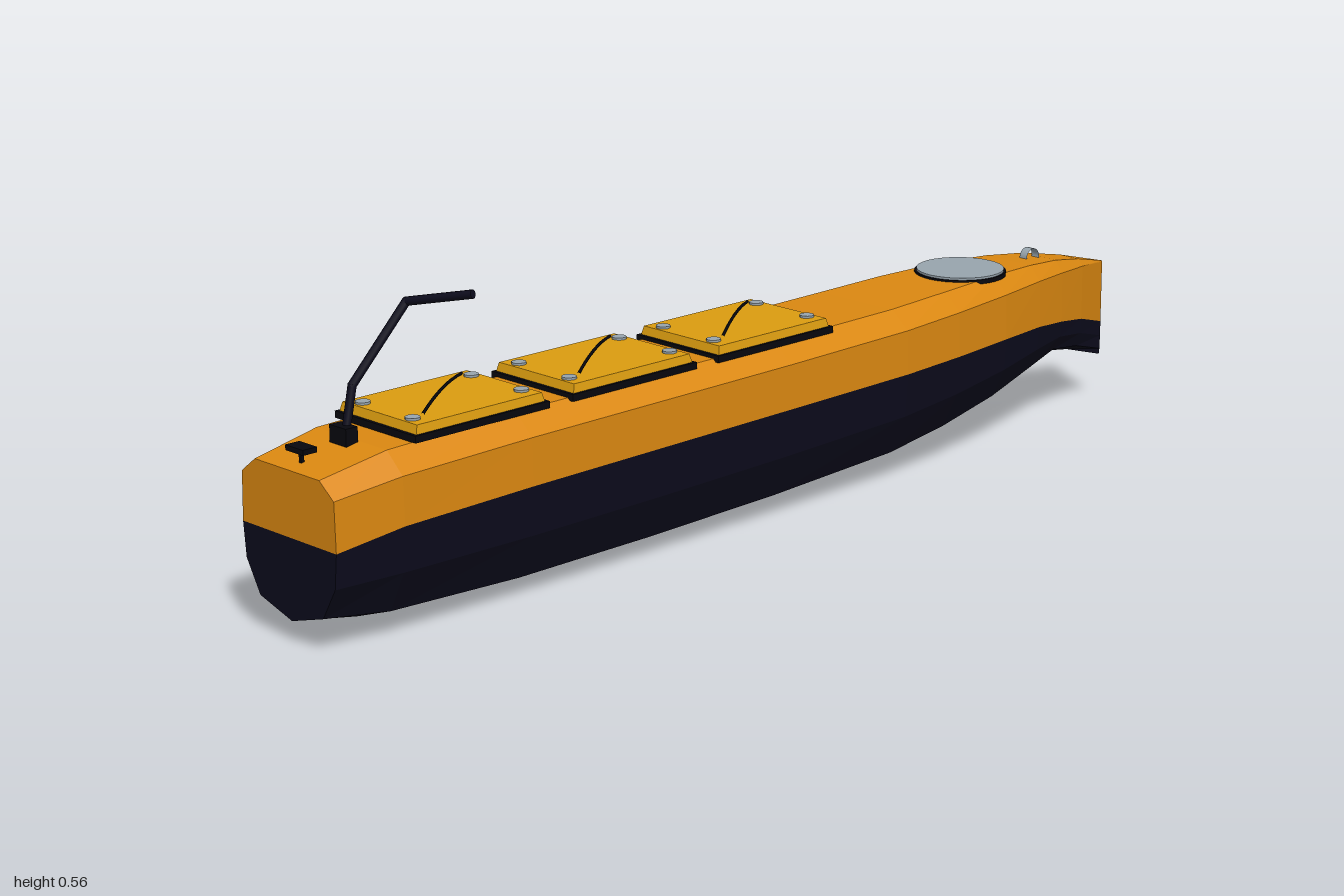
import * as THREE from 'three';

const CZ = -0.01; // centreline of the hull

const paint = (name, color) => {
  const m = new THREE.MeshStandardMaterial({ color });
  m.name = name;
  return m;
};

// stations: x, half width, keel, waterline, deck edge and deck heights
const STATIONS = [
  [-1.0, 0.117, 0.04, 0.18, 0.265, 0.292],
  [-0.87, 0.127, 0.015, 0.198, 0.28, 0.315],
  [-0.6, 0.128, 0.002, 0.204, 0.286, 0.322],
  [-0.3, 0.128, 0.003, 0.207, 0.288, 0.323],
  [0.0, 0.128, 0.01, 0.21, 0.29, 0.324],
  [0.3, 0.127, 0.025, 0.213, 0.294, 0.327],
  [0.45, 0.118, 0.046, 0.215, 0.298, 0.331],
  [0.6, 0.101, 0.075, 0.216, 0.301, 0.333],
  [0.72, 0.08, 0.108, 0.213, 0.302, 0.329],
  [0.81, 0.06, 0.132, 0.203, 0.299, 0.321],
  [0.9, 0.035, 0.119, 0.187, 0.292, 0.305],
  [1.0, 0.002, 0.09, 0.157, 0.278, 0.28],
];

// skin over equal cross-sections, with both ends closed
function loft(sections) {
  const pos = [];
  const tri = (...pts) => pts.forEach((p) => pos.push(...p));
  const n = sections[0].length;
  for (let i = 0; i < sections.length - 1; i++) {
    for (let j = 0; j < n - 1; j++) {
      const a = sections[i][j], b = sections[i][j + 1];
      const c = sections[i + 1][j], d = sections[i + 1][j + 1];
      tri(a, b, c);
      tri(b, d, c);
    }
  }
  const stern = sections[0], bow = sections[sections.length - 1];
  for (let j = 1; j < n - 1; j++) {
    tri(stern[0], stern[j + 1], stern[j]);
    tri(bow[0], bow[j], bow[j + 1]);
  }
  const g = new THREE.BufferGeometry();
  g.setAttribute('position', new THREE.Float32BufferAttribute(pos, 3));
  g.computeVertexNormals();
  return g;
}

export function createModel() {
  const group = new THREE.Group();
  const orange = paint('hull orange', 0xdb8811);
  const yellow = paint('hatch yellow', 0xdc9d10);
  const navy = paint('dark navy', 0x0c0b1c);
  const black = paint('rubber black', 0x07070e);
  const grey = paint('metal grey', 0x98a5ae);
  grey.side = THREE.DoubleSide;

  const add = (name, geo, mat, x = 0, y = 0, z = 0, parent = group) => {
    const m = new THREE.Mesh(geo, mat);
    m.name = name;
    m.position.set(x, y, z);
    parent.add(m);
    return m;
  };

  // hull: dark bottom and orange topsides share the waterline
  const lower = STATIONS.map(([x, w, k, wl]) => {
    const h = wl - k;
    return [[1.02, wl], [0.97, k + 0.57 * h], [0.69, k + 0.17 * h], [0, k],
      [-0.69, k + 0.17 * h], [-0.97, k + 0.57 * h], [-1.02, wl]]
      .map(([f, y]) => [x, y, CZ + f * w]);
  });
  const upper = STATIONS.map(([x, w, , wl, e, d]) =>
    [[-1.02, wl], [-1, e], [-0.7, d], [0.7, d], [1, e], [1.02, wl]]
      .map(([f, y]) => [x, y, CZ + f * w]));
  add('hullBottom', loft(lower), navy);
  add('hullTopsides', loft(upper), orange);

  // three deck hatches with seal, lid, latches and a bowed strap
  [-0.68, -0.345, -0.01].forEach((x, i) => {
    const hatch = new THREE.Group();
    hatch.name = 'hatch' + (i + 1);
    hatch.position.set(x, 0, CZ);
    group.add(hatch);
    add('hatchSeal', new THREE.BoxGeometry(0.284, 0.012, 0.204), black, 0, 0.324, 0, hatch);

    // lid tapers slightly towards the top
    const lid = new THREE.BoxGeometry(0.272, 0.015, 0.194);
    const p = lid.attributes.position;
    for (let v = 0; v < p.count; v++) {
      if (p.getY(v) > 0) p.setXYZ(v, p.getX(v) * 0.97, p.getY(v), p.getZ(v) * 0.97);
    }
    lid.computeVertexNormals();
    add('hatchLid', lid, yellow, 0, 0.3375, 0, hatch);

    for (const sx of [-1, 1]) {
      for (const sz of [-1, 1]) {
        add('latch', new THREE.CylinderGeometry(0.013, 0.013, 0.005, 10), grey,
          sx * 0.115, 0.3465, sz * 0.063, hatch);
      }
    }
    const strap = new THREE.QuadraticBezierCurve3(
      new THREE.Vector3(-0.1, 0.351, 0.07),
      new THREE.Vector3(0, 0.369, 0),
      new THREE.Vector3(0.1, 0.351, -0.07));
    add('strap', new THREE.TubeGeometry(strap, 8, 0.0028, 5), black, 0, 0, 0, hatch);
  });

  // round foredeck hatch
  add('roundHatchSeal', new THREE.CylinderGeometry(0.086, 0.086, 0.008, 32), black, 0.583, 0.331, CZ);
  add('roundHatchLid', new THREE.CylinderGeometry(0.082, 0.082, 0.005, 32), grey, 0.583, 0.3365, CZ);

  // towing ring on the bow
  const ring = add('towRing', new THREE.CylinderGeometry(0.018, 0.018, 0.018, 16, 1, true), grey, 0.782, 0.325, CZ);
  ring.rotation.x = Math.PI / 2;

  // stern fittings
  add('sternFitting', new THREE.BoxGeometry(0.028, 0.009, 0.045), black, -0.97, 0.32, CZ);
  add('sternPeg', new THREE.BoxGeometry(0.006, 0.03, 0.006), black, -0.97, 0.304, CZ);
  add('mastBase', new THREE.BoxGeometry(0.024, 0.03, 0.042), black, -0.885, 0.325, CZ);

  // bent mast in three straight lengths
  const bends = [[-0.882, 0.32, CZ], [-0.865, 0.402, CZ], [-0.778, 0.53, 0.024], [-0.738, 0.555, 0.138]]
    .map((p) => new THREE.Vector3(...p));
  const up = new THREE.Vector3(0, 1, 0);
  for (let i = 0; i < 3; i++) {
    const dir = bends[i + 1].clone().sub(bends[i]);
    const mid = bends[i].clone().addScaledVector(dir, 0.5);
    const rod = add('mastLength', new THREE.CylinderGeometry(0.0075, 0.0075, dir.length() + 0.004, 10),
      navy, mid.x, mid.y, mid.z);
    rod.quaternion.setFromUnitVectors(up, dir.normalize());
  }

  return group;
}
